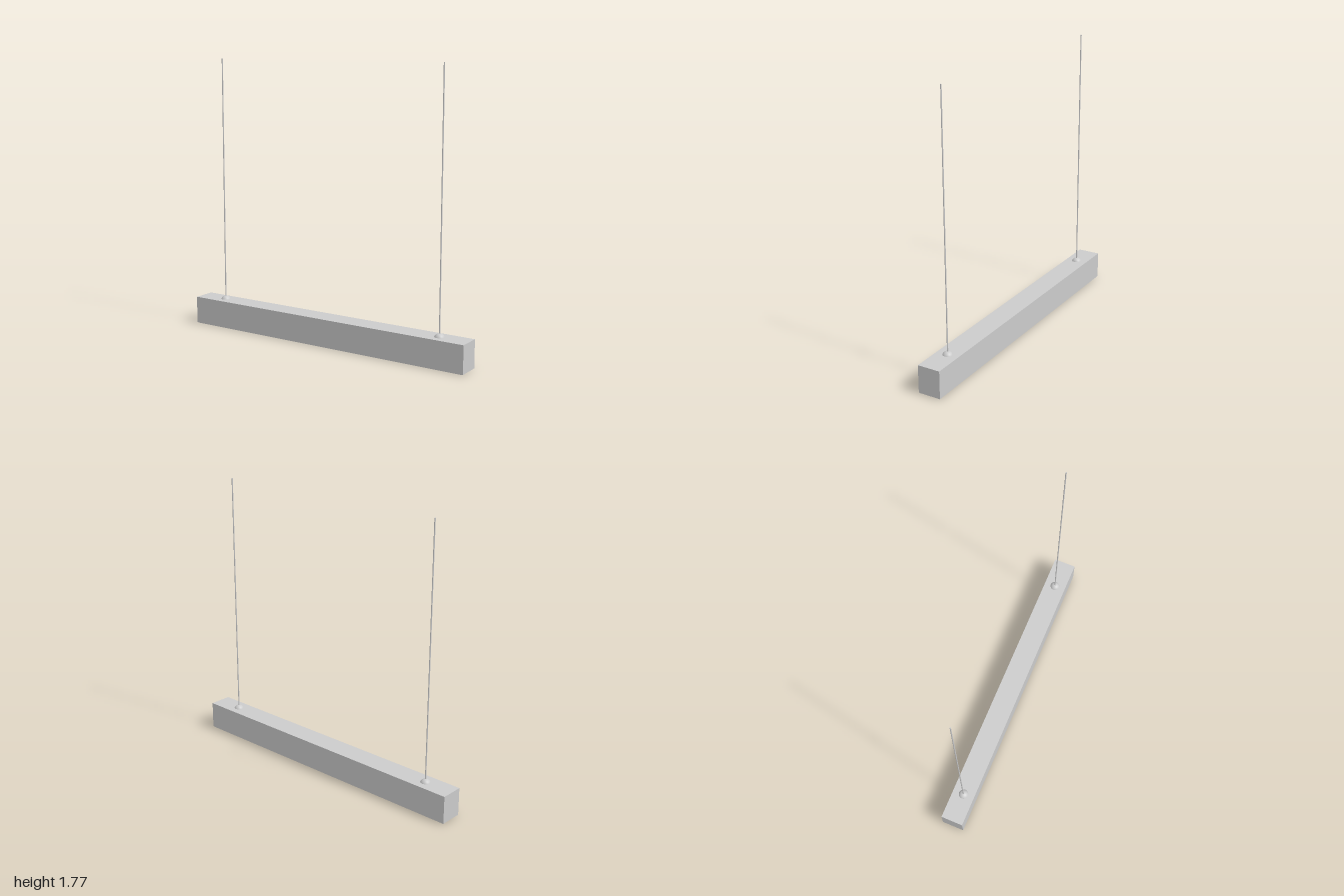
import * as THREE from 'three';

const grey = new THREE.MeshStandardMaterial({ color: 0xcccccc });

function addPart(parent, name, geometry, x, y, z) {
  const mesh = new THREE.Mesh(geometry, grey);
  mesh.name = name;
  mesh.position.set(x, y, z);
  parent.add(mesh);
  return mesh;
}

export function createModel() {
  const model = new THREE.Group();
  model.name = 'linearPendantLamp';

  const top = 0.18, base = 0.004, wireTop = 1.775;

  // Long rectangular housing with a slim light panel under it
  addPart(model, 'housing', new THREE.BoxGeometry(2, top - base, 0.146), 0, (top + base) / 2, 0);
  addPart(model, 'lightPanel', new THREE.BoxGeometry(1.99, 0.008, 0.136), 0, 0.004, 0);

  // A partly sunken ball fitting and a suspension wire at each end
  for (const side of [-1, 1]) {
    const suspension = new THREE.Group();
    suspension.name = side > 0 ? 'leftSuspension' : 'rightSuspension';
    suspension.position.x = side * 0.807;
    addPart(suspension, 'wireFitting', new THREE.SphereGeometry(0.034, 32, 20), 0, 0.167, 0);
    addPart(suspension, 'wire', new THREE.CylinderGeometry(0.004, 0.004, wireTop - top, 16), 0, (wireTop + top) / 2, 0);
    model.add(suspension);
  }

  return model;
}
